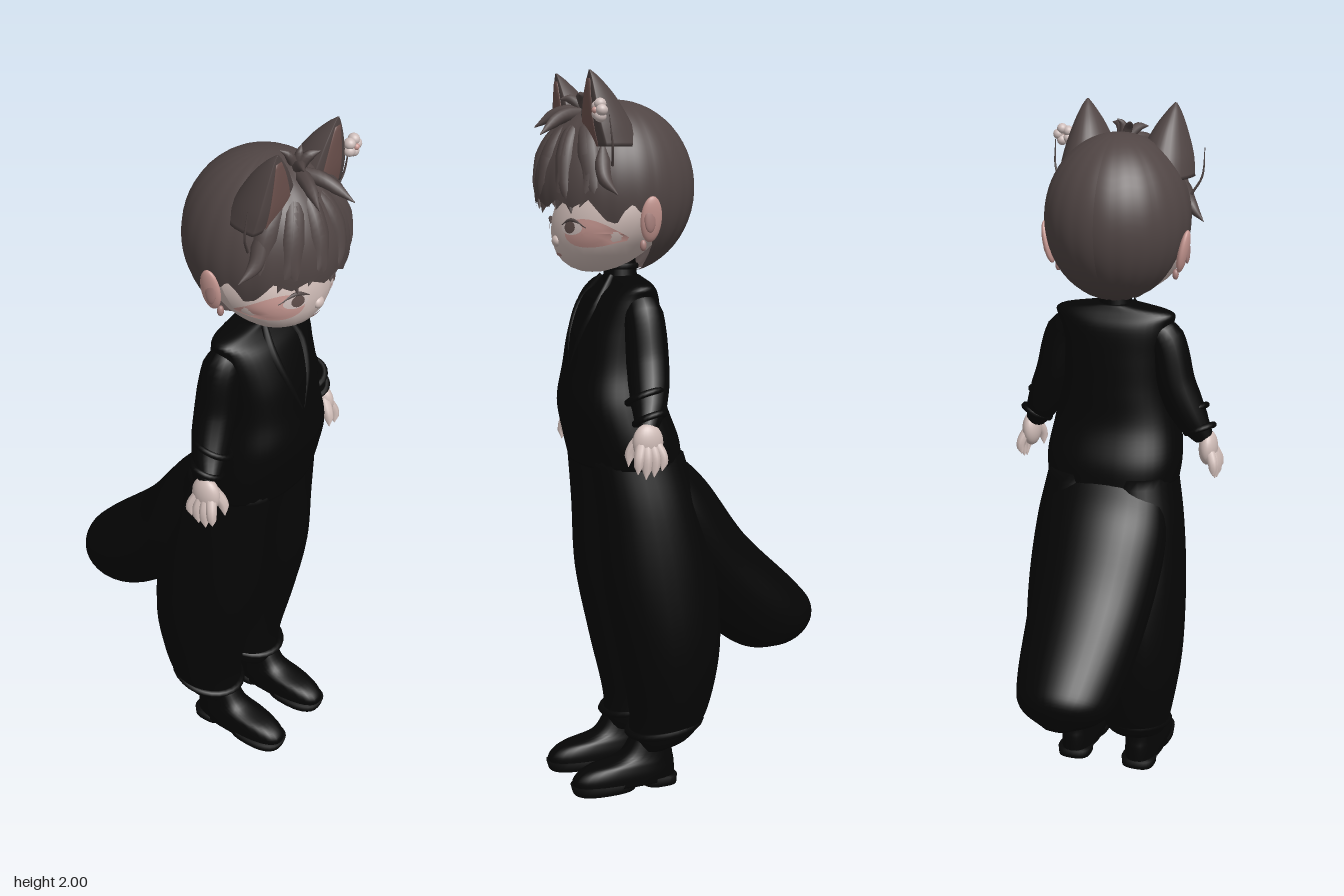
import * as THREE from 'three';

const mat = (name, color) => Object.assign(new THREE.MeshStandardMaterial({ color }), { name });
const V = (p) => new THREE.Vector3(...p);

// Ellipse loft through smooth sections [x, y, z, rx, rz], listed bottom to top.
function loft(sections, { n = 28, steps = 24, tilt = 0, power = 1, front = 1 } = {}) {
  const mid = new THREE.CatmullRomCurve3(sections.map((s) => V(s.slice(0, 3))), false, 'catmullrom');
  const rad = new THREE.CatmullRomCurve3(sections.map((s) => V([s[3], s[4], 0])), false, 'catmullrom');
  const pos = [], idx = [];
  const soft = (v) => Math.sign(v) * Math.abs(v) ** power;
  for (let i = 0; i <= steps; i++) {
    const c = mid.getPoint(i / steps), r = rad.getPoint(i / steps);
    for (let j = 0; j < n; j++) {
      const a = (j / n) * Math.PI * 2;
      const d = r.y * soft(Math.sin(a)) * (Math.sin(a) > 0 ? front : 1);
      pos.push(c.x + r.x * soft(Math.cos(a)), c.y - d * Math.sin(tilt), c.z + d * Math.cos(tilt));
      const p = i * n + j, q = i * n + (j + 1) % n;
      if (i < steps) idx.push(p, p + n, q, q, p + n, q + n);
    }
  }
  const low = (steps + 1) * n;
  pos.push(...sections[0].slice(0, 3), ...sections[sections.length - 1].slice(0, 3));
  for (let j = 0; j < n; j++) {
    const k = (j + 1) % n;
    idx.push(low, j, k, low + 1, steps * n + k, steps * n + j);
  }
  const g = new THREE.BufferGeometry();
  g.setAttribute('position', new THREE.Float32BufferAttribute(pos, 3));
  g.setIndex(idx);
  g.computeVertexNormals();
  return g;
}

// Tube along points whose radius follows a list.
function taper(points, radii, steps = 14, sides = 10) {
  const curve = new THREE.CatmullRomCurve3(points.map(V));
  const g = new THREE.TubeGeometry(curve, steps, 1, sides);
  const p = g.attributes.position, v = new THREE.Vector3();
  for (let i = 0; i < p.count; i++) {
    const t = Math.floor(i / (sides + 1)) / steps, c = curve.getPointAt(t);
    const f = t * (radii.length - 1), k = Math.min(Math.floor(f), radii.length - 2);
    v.fromBufferAttribute(p, i).sub(c).multiplyScalar(THREE.MathUtils.lerp(radii[k], radii[k + 1], f - k)).add(c);
    p.setXYZ(i, v.x, v.y, v.z);
  }
  return g;
}

const ball = (x, y, z, rx, ry = rx, rz = rx) =>
  new THREE.SphereGeometry(1, 24, 16).scale(rx, ry, rz).translate(x, y, z);

// Height of the face surface, used to lay the painted details on it.
const faceZ = (x, y) => 0.185 + 0.4 * (1.64 - y)
  + 0.165 * Math.sqrt(Math.max(0, 1 - (x / 0.192) ** 2 - ((y - 1.64) / 0.18) ** 2));
function facePatch(x, y, rx, ry, lift) {
  const g = new THREE.RingGeometry(0.001, 1, 24, 4).scale(rx, ry, 1).translate(x, y, 0);
  const p = g.attributes.position;
  for (let i = 0; i < p.count; i++) p.setZ(i, faceZ(p.getX(i), p.getY(i)) + lift);
  g.computeVertexNormals();
  return g;
}

// Point on the hair cap: a is the angle from the front, phi from the crown.
const hairPoint = (a, phi, k = 1) => [
  0.205 * k * Math.sin(phi) * Math.sin(a), 1.69 + 0.235 * k * Math.cos(phi), 0.19 + 0.22 * k * Math.sin(phi) * Math.cos(a)];
const HAIRLINE = [[0, 1.64], [0.9, 1.64], [1.25, 1.585], [1.45, 1.64], [1.7, 1.61], [1.9, 1.5], [2.15, 1.468], [3.15, 1.46]];
function hairCap() {
  const g = new THREE.PlaneGeometry(1, 1, 140, 24), p = g.attributes.position;
  for (let i = 0; i < p.count; i++) {
    const a = -p.getX(i) * 2 * Math.PI, t = 0.5 - p.getY(i), b = Math.abs(a);
    const k = Math.max(1, HAIRLINE.findIndex((h) => h[0] >= b));
    const [a0, y0] = HAIRLINE[k - 1], [a1, y1] = HAIRLINE[k];
    const zig = Math.abs(((b * 4.5) % 2) - 1) * (b < 1.5 ? 0.022 : 0.01);
    const edge = y0 + (y1 - y0) * (b - a0) / (a1 - a0) + zig;
    const phi = Math.acos((edge - 1.69) / 0.235) * t;
    p.setXYZ(i, ...hairPoint(a, phi, 1 + 0.01 * t * Math.abs(Math.sin(a * 11))));
  }
  g.computeVertexNormals();
  return g;
}

export function createModel() {
  const black = mat('black cloth', 0x050505), trim = mat('black trim', 0x080808);
  const hair = mat('brown hair', 0x504544), skin = mat('pale skin', 0xcfbcb7);
  const pink = mat('pink skin', 0xc79892), inner = mat('inner ear', 0x6c514d);
  const white = mat('pearl white', 0xcdbdba), iris = mat('iris', 0x5d4c49), lip = mat('lip', 0xa8807c);
  hair.side = THREE.DoubleSide;
  const model = new THREE.Group();
  const add = (name, geometry, material) => {
    const m = new THREE.Mesh(geometry, material);
    m.name = name;
    model.add(m);
  };

  // Jacket and collar
  add('jacket', loft([
    [0, 0.93, 0.165, 0.195, 0.145], [0, 1.0, 0.178, 0.2, 0.148], [0, 1.1, 0.205, 0.185, 0.14],
    [0, 1.2, 0.202, 0.165, 0.128], [0, 1.3, 0.195, 0.163, 0.115], [0, 1.39, 0.18, 0.17, 0.09],
    [0, 1.43, 0.17, 0.168, 0.055], [0, 1.45, 0.17, 0.06, 0.045]], { n: 40, steps: 42, power: 0.85 }), black);
  add('collar', new THREE.CylinderGeometry(0.043, 0.05, 0.08, 24).translate(0, 1.455, 0.175), black);
  add('collarFold', new THREE.TorusGeometry(0.043, 0.009, 8, 24).rotateX(Math.PI / 2).translate(0, 1.475, 0.175), trim);

  // Tail
  add('tail', loft([
    [-0.01, 0.36, -0.39, 0.03, 0.025], [-0.01, 0.39, -0.352, 0.115, 0.095], [-0.01, 0.44, -0.27, 0.152, 0.13],
    [-0.01, 0.6, -0.1, 0.178, 0.132], [-0.008, 0.78, 0.03, 0.192, 0.128], [0, 0.9, 0.1, 0.175, 0.085]],
  { n: 36, steps: 36, tilt: 0.72 }), black);

  for (const s of [1, -1]) {
    const side = s > 0 ? 'left' : 'right';
    // Trouser leg
    add(side + 'TrouserLeg', loft([
      [s * 0.1, 0.11, 0.13, 0.06, 0.05], [s * 0.097, 0.14, 0.1, 0.09, 0.09], [s * 0.106, 0.22, 0.077, 0.106, 0.115],
      [s * 0.118, 0.4, 0.08, 0.12, 0.15], [s * 0.117, 0.6, 0.105, 0.12, 0.165],
      [s * 0.105, 0.8, 0.135, 0.115, 0.148], [s * 0.09, 0.96, 0.165, 0.1, 0.135]], { steps: 36 }), black);
    for (const [y, z] of [[0.17, 0.09], [0.24, 0.075]])
      add('trouserFold', new THREE.TorusGeometry(0.094, 0.01, 6, 28).scale(1, 1.13, 1)
        .rotateX(Math.PI / 2 + 0.15).translate(s * 0.105, y, z), black);

    // Shoe
    const x = s * 0.104;
    add(side + 'Shoe', loft([
      [x, 0.015, 0.215, 0.055, 0.153], [x, 0.045, 0.213, 0.056, 0.15], [x, 0.07, 0.195, 0.053, 0.13],
      [x, 0.095, 0.15, 0.048, 0.08], [x, 0.15, 0.13, 0.045, 0.055]], { power: 0.8 }), black);
    add(side + 'Heel', loft([[x, 0, 0.11, 0.05, 0.05], [x, 0.025, 0.11, 0.052, 0.052]], { steps: 2, power: 0.7 }), trim);
    add(side + 'Sole', loft([[x, 0, 0.275, 0.055, 0.09], [x, 0.025, 0.272, 0.058, 0.1]], { steps: 2, power: 0.8 }), trim);

    // Sleeve, cuff and lapel
    add(side + 'Sleeve', taper([
      [s * 0.1, 1.385, 0.17], [s * 0.145, 1.36, 0.17], [s * 0.185, 1.22, 0.17], [s * 0.228, 1.12, 0.185], [s * 0.26, 1.06, 0.205]],
    [0.035, 0.056, 0.058, 0.058, 0.056, 0.048, 0.03], 24, 18), black);
    for (const [cx, cy, r] of [[0.222, 1.14, 0.05], [0.252, 1.085, 0.042]])
      add('sleeveFold', new THREE.TorusGeometry(r, 0.009, 8, 24).rotateX(Math.PI / 2 + 0.2)
        .rotateZ(s * 0.4).translate(s * cx, cy, 0.193), black);
    add(side + 'Lapel', taper([
      [s * 0.035, 1.45, 0.215], [s * 0.06, 1.38, 0.262], [s * 0.045, 1.3, 0.3], [s * 0.004, 1.2, 0.326]],
    [0.008, 0.016, 0.012, 0.004]), trim);

    // Hand with four fingers and a thumb
    add(side + 'Palm', ball(s * 0.275, 1.025, 0.208, 0.027, 0.052, 0.043), skin);
    for (let i = 0; i < 4; i++) {
      const z = 0.174 + i * 0.023, end = [0.95, 0.935, 0.93, 0.945][i];
      add('finger', taper([[s * 0.278, 1.03, 0.193 + i * 0.011], [s * 0.298, 0.985, z], [s * 0.298, end, z + 0.003]],
        [0.014, 0.016, 0.015, 0.013, 0.001], 12, 8), skin);
    }
    add('thumb', taper([[s * 0.268, 1.04, 0.225], [s * 0.256, 1.0, 0.25], [s * 0.255, 0.96, 0.256]],
      [0.017, 0.017, 0.014, 0.001], 12, 8), skin);

    // Ear and earring
    add(side + 'Ear', ball(0, 0, 0, 0.014, 0.062, 0.03).rotateZ(-s * 0.2).translate(s * 0.2, 1.61, 0.165), pink);
    add(side + 'EarHollow', ball(s * 0.21, 1.61, 0.172, 0.007, 0.035, 0.016), lip);
    add('earring', ball(s * 0.175, 1.54, 0.178, 0.009, 0.015, 0.009), lip);

    // Painted eye
    add(side + 'Blush', facePatch(s * 0.118, 1.572, 0.058, 0.038, 0.002), pink);
    add(side + 'EyeWhite', facePatch(s * 0.085, 1.585, 0.034, 0.018, 0.004), white);
    add(side + 'Iris', facePatch(s * 0.083, 1.587, 0.018, 0.016, 0.006), iris);
    add(side + 'Lash', taper([[0.045, 1.592], [0.085, 1.606], [0.128, 1.586]].map(([u, y]) => [s * u, y, faceZ(u, y) + 0.002]),
      [0.001, 0.006, 0.004, 0.001]), hair);

    // Cat ear with inner face
    const ear = [[0.112, 1.8, 0.285, 0.085, 0.13], [0.113, 1.86, 0.298, 0.075, 0.11],
      [0.12, 1.93, 0.305, 0.046, 0.07], [0.127, 1.975, 0.308, 0.02, 0.03], [0.13, 1.997, 0.31, 0.003, 0.004]]
      .map(([u, ...r]) => [s * u, ...r]);
    add(side + 'CatEar', loft(ear, { front: 0.1 }), hair);
    add(side + 'CatEarInner', loft(ear.slice(0, 4).map(([u, y, z, rx, rz]) =>
      [u, y, z + rz * 0.1, rx * 0.58, 0.004]), { steps: 12 }), inner);

    // Side flicks and loose strands
    add('sideLock', taper([hairPoint(s * 1.05, 1.0, 0.97), hairPoint(s * 1.1, 1.45, 1.01), [s * 0.228, 1.675, 0.27]],
      [0.005, 0.024, 0.018, 0.001]), hair);
    add('strand', taper([[s * 0.19, 1.75, 0.27], [s * 0.218, 1.8, 0.28], [s * 0.222, 1.88, 0.29]],
      [0.004, 0.003, 0.001], 12, 5), hair);
  }

  // Head, nose and mouth
  const head = ball(0, 1.64, 0.185, 0.192, 0.18, 0.165), hp = head.attributes.position;
  for (let i = 0; i < hp.count; i++) hp.setZ(i, hp.getZ(i) + 0.4 * (1.64 - hp.getY(i)));
  head.computeVertexNormals();
  add('head', head, skin);
  add('nose', ball(0, 1.547, faceZ(0, 1.547) - 0.004, 0.018, 0.016, 0.013), skin);
  add('mouth', facePatch(0, 1.51, 0.02, 0.005, 0.003), lip);

  // Hair cap, broad fringe locks sunk into it, and crown tufts
  add('hair', hairCap(), hair);
  for (let i = 0; i < 11; i++) {
    const a = (i - 5) * 0.2, bend = i % 2 ? 0.1 : -0.06;
    add('fringeLock', taper([hairPoint(a * 0.5, 0.55, 0.95), hairPoint(a * 0.9 + bend, 1.05, 0.91),
      hairPoint(a + bend, 1.5, 0.91), hairPoint(a - bend * 0.4, 1.78 + 0.04 * (i % 3), 0.98)],
    [0.004, 0.028, 0.034, 0.026, 0.001], 18, 12), hair);
  }
  for (const [u, y, z, r] of [[-0.045, 1.925, 0.33, 0.016], [0.055, 1.935, 0.31, 0.016], [0.03, 1.95, 0.27, 0.014],
    [-0.02, 1.945, 0.24, 0.014], [0.05, 1.83, 0.42, 0.02], [-0.07, 1.85, 0.395, 0.02]])
    add('crownTuft', taper([[0.01, 1.89, 0.27], [u * 0.5, (1.9 + y) / 2 + 0.012, (0.28 + z) / 2], [u, y, z]],
      [0.012, r, r * 0.8, 0.001], 12, 8), hair);

  // Flower by the left cat ear
  for (let i = 0; i < 5; i++) {
    const a = i * Math.PI * 0.4;
    add('petal', ball(0.203 + 0.017 * Math.cos(a), 1.892 + 0.017 * Math.sin(a), 0.31, 0.015, 0.015, 0.016), white);
  }
  add('flowerCentre', ball(0.203, 1.892, 0.322, 0.009), pink);
  return model;
}
